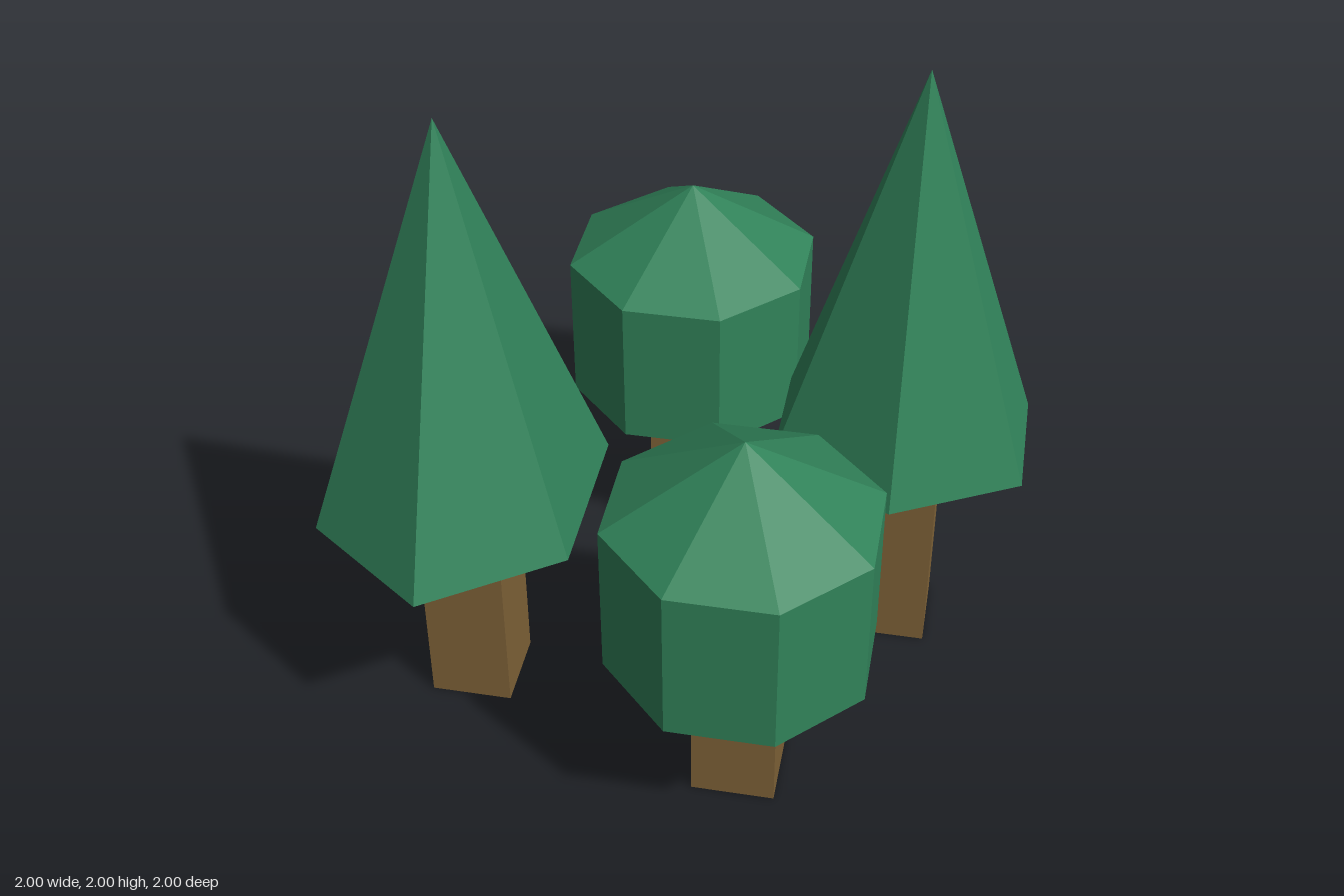
import * as THREE from 'three';

const FLAT = { flatShading: true };
const leafGreen = new THREE.MeshStandardMaterial({ name: 'leafGreen', color: 0x31835a, ...FLAT });
const barkBrown = new THREE.MeshStandardMaterial({ name: 'barkBrown', color: 0x806338, ...FLAT });

// Closed faceted crown turned from a [radius, height] profile
function makeCrown(profile, sides, start) {
  const points = profile.map(([r, y]) => new THREE.Vector2(r, y));
  const geometry = new THREE.LatheGeometry(points, sides, start).toNonIndexed();
  geometry.computeVertexNormals();
  return new THREE.Mesh(geometry, leafGreen);
}

// Square trunk standing on the ground
function makeTrunk(height) {
  const trunk = new THREE.Mesh(new THREE.BoxGeometry(0.25, height, 0.25), barkBrown);
  trunk.name = 'trunk';
  trunk.position.y = height / 2;
  return trunk;
}

// Tall six-sided tree; its crown is stretched to the given half depth
function makePine(halfDepth) {
  const tree = new THREE.Group();
  tree.name = 'pineTree';
  const radius = 0.375 / Math.cos(Math.PI / 6);
  const crown = makeCrown([[0, 0.755], [radius, 0.755], [0, 2]], 6, 0);
  crown.name = 'pineCrown';
  crown.scale.z = halfDepth / radius;
  tree.add(makeTrunk(0.755), crown);
  return tree;
}

// Short eight-sided tree with a drum crown and a shallow peak
function makeRoundTree() {
  const tree = new THREE.Group();
  tree.name = 'roundTree';
  const radius = 0.375 / Math.cos(Math.PI / 8);
  const crown = makeCrown([[0, 0.505], [radius, 0.505], [radius, 1], [0, 1.25]], 8, Math.PI / 8);
  crown.name = 'roundCrown';
  tree.add(makeTrunk(0.505), crown);
  return tree;
}

export function createModel() {
  const grove = new THREE.Group();
  grove.name = 'grove';
  const place = (tree, x, z) => {
    tree.position.set(x, 0, z);
    grove.add(tree);
  };
  place(makePine(0.527), -0.625, 0.375);
  place(makePine(0.402), 0.625, -0.125);
  place(makeRoundTree(), -0.125, -0.625);
  place(makeRoundTree(), 0.25, 0.625);
  return grove;
}
